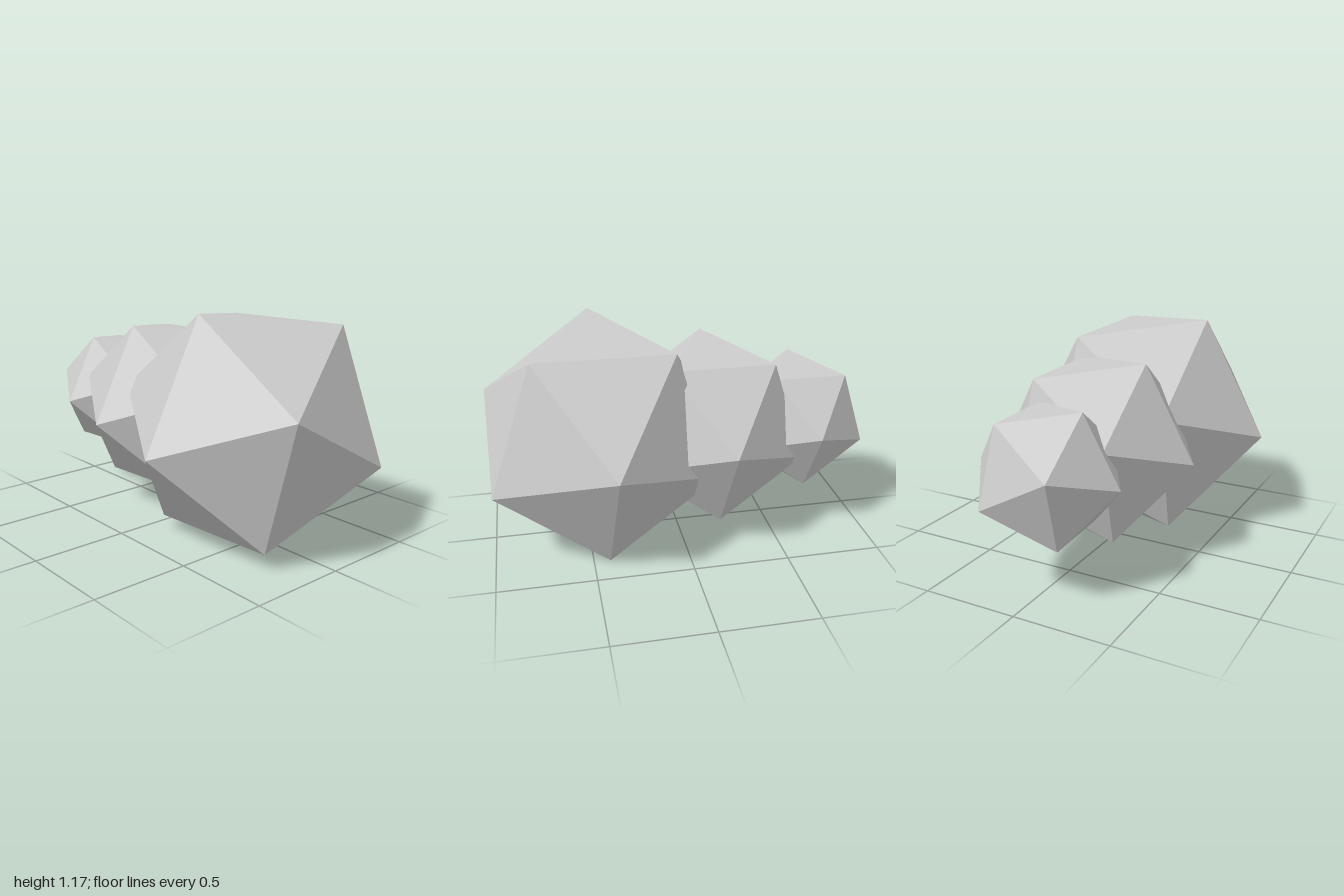
import * as THREE from 'three';

export function createModel() {
  const model = new THREE.Group();
  model.name = 'segmentedBody';
  const material = new THREE.MeshStandardMaterial({ color: 0xcccccc, flatShading: true });

  // Overlapping faceted segments, shrinking towards the back
  const segments = [
    { name: 'frontSegment', radius: 0.674, z: 0.417 },
    { name: 'middleSegment', radius: 0.524, z: -0.188 },
    { name: 'backSegment', radius: 0.376, z: -0.675 },
  ];
  for (const { name, radius, z } of segments) {
    const segment = new THREE.Mesh(new THREE.IcosahedronGeometry(radius, 0), material);
    segment.name = name;
    segment.position.set(0, 0.588, z);
    segment.rotation.set(-0.017, 0.038, 1.081); // all share the same tilt
    model.add(segment);
  }
  return model;
}
